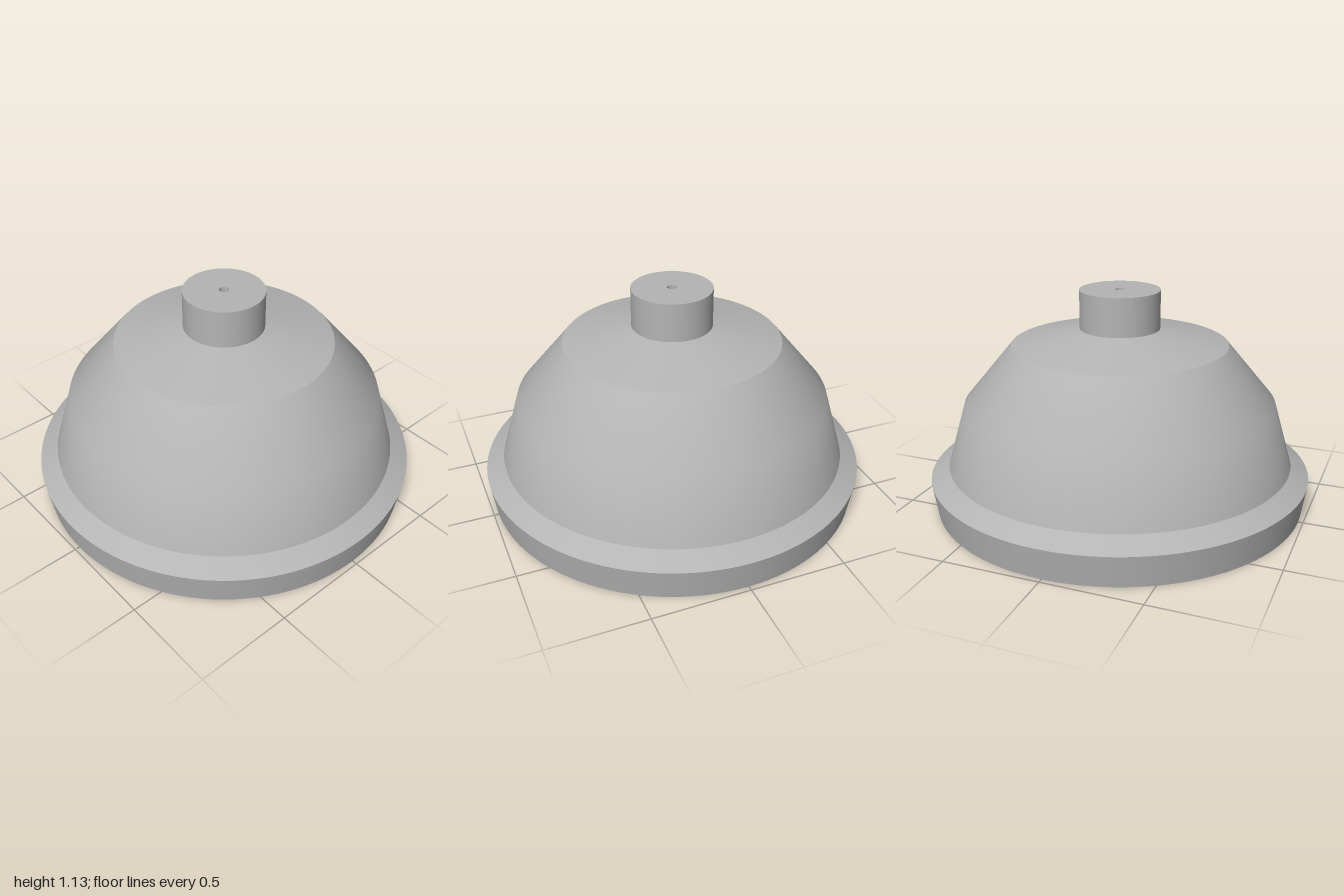
import * as THREE from 'three';

const SEGMENTS = 128;
const HOLE = 0.025; // radius of the bore along the axis

export function createModel() {
  const group = new THREE.Group();
  group.name = 'steppedDome';

  const grey = new THREE.MeshStandardMaterial({ color: 0xb4b4b4 });
  grey.name = 'plain grey';

  // Each band is its own lathe, so edges between bands stay sharp.
  // Profiles run from the base centre outwards, up the side and back down the bore.
  const bands = {
    baseUnderside: [[HOLE, 0], [0.975, 0]],
    baseRim: [[0.975, 0], [1, 0.165]],
    rimBevel: [[1, 0.165], [0.905, 0.225]],
    domeWall: [[0.905, 0.225], [0.81, 0.55], [0.56, 0.85]],
    shoulder: [[0.56, 0.85], [0.207, 0.93]],
    neckWall: [[0.207, 0.93], [0.207, 1.13]],
    neckTop: [[0.207, 1.13], [HOLE, 1.13]],
    bore: [[HOLE, 1.13], [HOLE, 0]],
  };

  for (const [name, profile] of Object.entries(bands)) {
    const points = profile.map(([r, y]) => new THREE.Vector2(r, y));
    const mesh = new THREE.Mesh(new THREE.LatheGeometry(points, SEGMENTS), grey);
    mesh.name = name;
    group.add(mesh);
  }
  return group;
}
